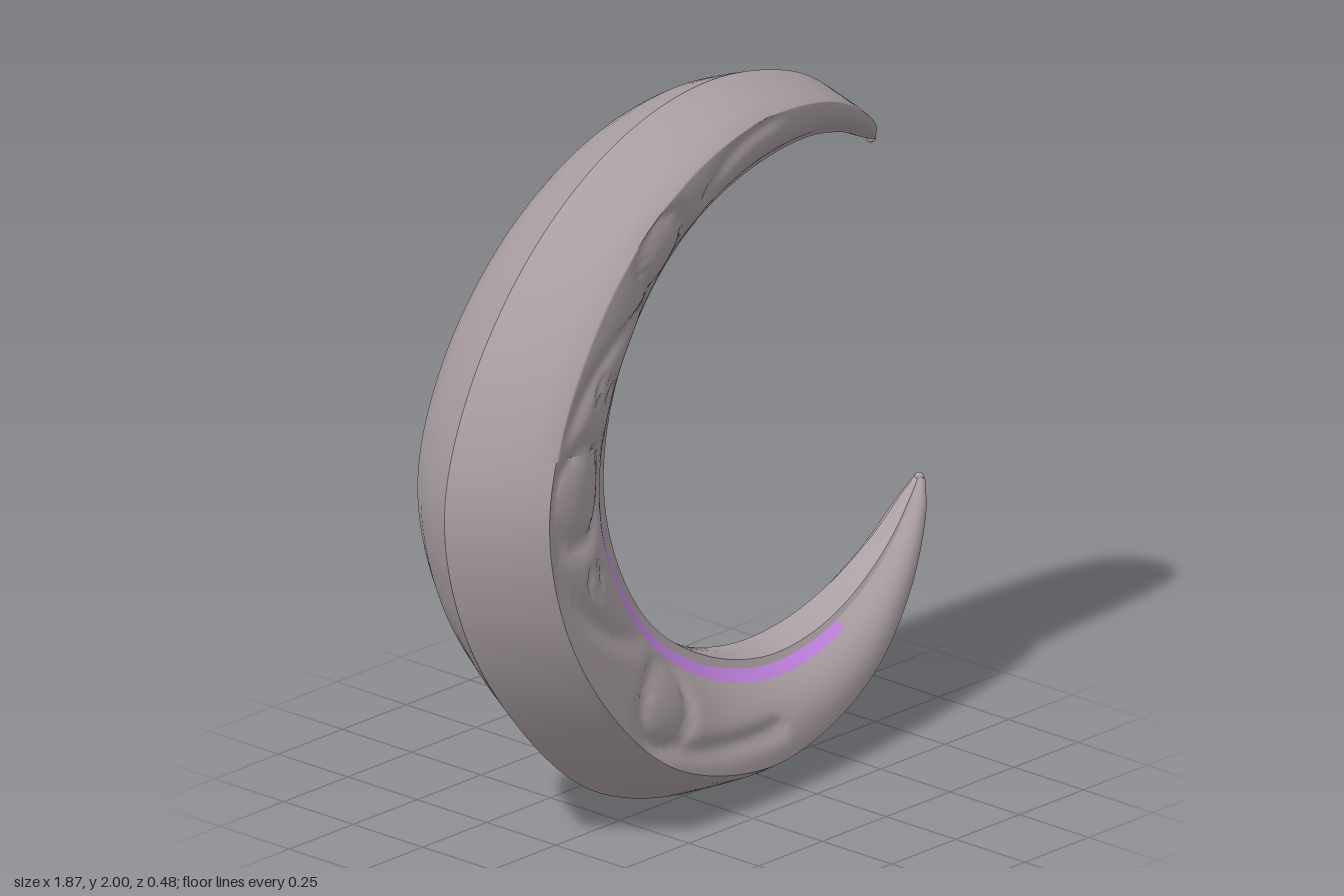
import * as THREE from 'three';

// Stations from upper tip to lower tip: outer x, y, inner x, y, half thickness
const stations = [
  [0.738, 1.665, 0.728, 1.66, 0.016], [0.695, 1.74, 0.672, 1.685, 0.06],
  [0.61, 1.82, 0.585, 1.725, 0.098], [0.43, 1.935, 0.43, 1.755, 0.133],
  [0.1, 2, 0.2, 1.73, 0.167], [-0.25, 1.93, -0.02, 1.645, 0.19],
  [-0.58, 1.72, -0.2, 1.5, 0.212], [-0.83, 1.4, -0.34, 1.28, 0.23],
  [-0.935, 1.07, -0.39, 1.03, 0.238], [-0.87, 0.73, -0.34, 0.79, 0.235],
  [-0.66, 0.39, -0.2, 0.565, 0.225], [-0.35, 0.11, 0.02, 0.415, 0.21],
  [0.06, 0, 0.25, 0.348, 0.2], [0.37, 0.05, 0.45, 0.36, 0.175],
  [0.62, 0.17, 0.62, 0.42, 0.14], [0.8, 0.355, 0.77, 0.515, 0.095],
  [0.905, 0.55, 0.87, 0.61, 0.05], [0.932, 0.64, 0.912, 0.65, 0.018],
];
const STEPS = 204;
const outer = new THREE.CatmullRomCurve3(stations.map((s) => new THREE.Vector3(s[0], s[1], s[4])));
const inner = new THREE.CatmullRomCurve3(stations.map((s) => new THREE.Vector3(s[2], s[3], 0)));

// Carved relief: sunken domes (x, y, radius, height) and sweeping grooves
const domes = [
  [-0.63, 1.08, 0.125, 0.028], [-0.28, 1.67, 0.1, 0.024], [-0.28, 0.38, 0.105, 0.024],
  [-0.53, 1.35, 0.035, 0.012], [-0.57, 0.83, 0.035, 0.012],
];
const grooves = [
  [-0.76, 0.92, -0.6, 0.63, -0.28, 0.57], [-0.7, 1.28, -0.55, 1.5, -0.27, 1.53],
  [-0.08, 1.77, 0, 1.9, 0.17, 1.91], [-0.38, 0.3, -0.15, 0.18, 0.17, 0.19],
].map(([a, b, c, d, e, f]) => new THREE.QuadraticBezierCurve(
  new THREE.Vector2(a, b), new THREE.Vector2(c, d), new THREE.Vector2(e, f)).getPoints(30));

function relief(x, y) {
  let h = 0;
  for (const [cx, cy, r, height] of domes) {
    const d = Math.hypot(x - cx, y - cy) / r;
    if (d < 1) h += height * (Math.sqrt(1 - d * d) - 0.9);
    else h -= height * 0.9 * Math.exp(-(((d - 1) / 0.3) ** 2));
  }
  for (const line of grooves) {
    let d = 1;
    for (const p of line) d = Math.min(d, Math.hypot(x - p.x, y - p.y));
    h -= 0.018 * Math.exp(-((d / 0.03) ** 2));
  }
  return h;
}

// Sweeps a strip of [fraction across, thickness fraction, relief weight] along the crescent
function strip(profile, from = 0, to = STEPS) {
  const pos = [], index = [], n = profile.length;
  for (let i = from; i <= to; i++) {
    const o = outer.getPoint(i / STEPS), q = inner.getPoint(i / STEPS);
    for (const [f, z, carve] of profile) {
      const x = o.x + (q.x - o.x) * f, y = o.y + (q.y - o.y) * f;
      const bump = carve ? carve * relief(x, y) * Math.sign(z) : 0;
      pos.push(x, y, z * o.z + bump);
    }
  }
  for (let i = 0; i < to - from; i++) {
    for (let j = 0; j < n - 1; j++) {
      const a = i * n + j, b = a + n;
      index.push(a, b, a + 1, b, b + 1, a + 1);
    }
  }
  const g = new THREE.BufferGeometry();
  g.setAttribute('position', new THREE.Float32BufferAttribute(pos, 3));
  g.setIndex(index);
  g.computeVertexNormals();
  return g;
}

export function createModel() {
  const group = new THREE.Group();
  const stone = new THREE.MeshStandardMaterial({ name: 'greyStone', color: 0xaa9fa3 });
  const purple = new THREE.MeshStandardMaterial({ name: 'purpleInlay', color: 0xbf82df });
  const add = (name, geometry, material) => {
    const mesh = new THREE.Mesh(geometry, material);
    mesh.name = name;
    group.add(mesh);
  };

  const bevel = [[0, 0, 0], [0.1, 0.41, 0], [0.2, 0.78, 0], [0.28, 1, 0]];
  const face = [];
  for (let k = 0; k <= 24; k++) {
    const t = k / 24;
    face.push([0.28 + 0.575 * t, 1 - 0.46 * t ** 2.8, Math.sqrt(Math.max(0, Math.sin(Math.PI * t)))]);
  }
  const channel = [[0.855, 0.54, 0], [0.93, 0.38, 0]];
  const mirror = (p) => p.map(([f, z, c]) => [f, -z, c]).reverse();

  // Front and back halves share the same profiles: soft upper shoulder, sharp lower one
  const SEAM = 90, INLAY_START = 36, INLAY_END = 162;
  for (const [side, flip] of [['front', (p) => p], ['back', mirror]]) {
    add(side + 'UpperBody', strip(flip([...bevel, ...face.slice(1)]), 0, SEAM), stone);
    add(side + 'LowerBevel', strip(flip(bevel), SEAM, STEPS), stone);
    add(side + 'LowerFace', strip(flip(face), SEAM, STEPS), stone);
    add(side + 'InlayStrip', strip(flip(channel), INLAY_START, INLAY_END), purple);
    add(side + 'UpperChannelEnd', strip(flip(channel), 0, INLAY_START), stone);
    add(side + 'LowerChannelEnd', strip(flip(channel), INLAY_END, STEPS), stone);
  }

  // Flat band lining the inside of the curve, with a lip along each edge
  const lip = [[0.93, 0.38, 0], [0.985, 0.33, 0]];
  const band = [[0.985, 0.33, 0], [0.995, 0.17, 0], [1, 0, 0], [0.995, -0.17, 0], [0.985, -0.33, 0]];
  add('frontInnerLip', strip(lip), stone);
  add('innerBand', strip(band), stone);
  add('backInnerLip', strip(mirror(lip)), stone);

  // Small blunt caps closing both tips
  for (const [name, t] of [['upperTip', 0], ['lowerTip', 1]]) {
    const cap = new THREE.SphereGeometry(0.014, 12, 8);
    const p = outer.getPoint(t).lerp(inner.getPoint(t), 0.5);
    cap.translate(p.x, p.y, 0);
    add(name, cap, stone);
  }
  return group;
}
